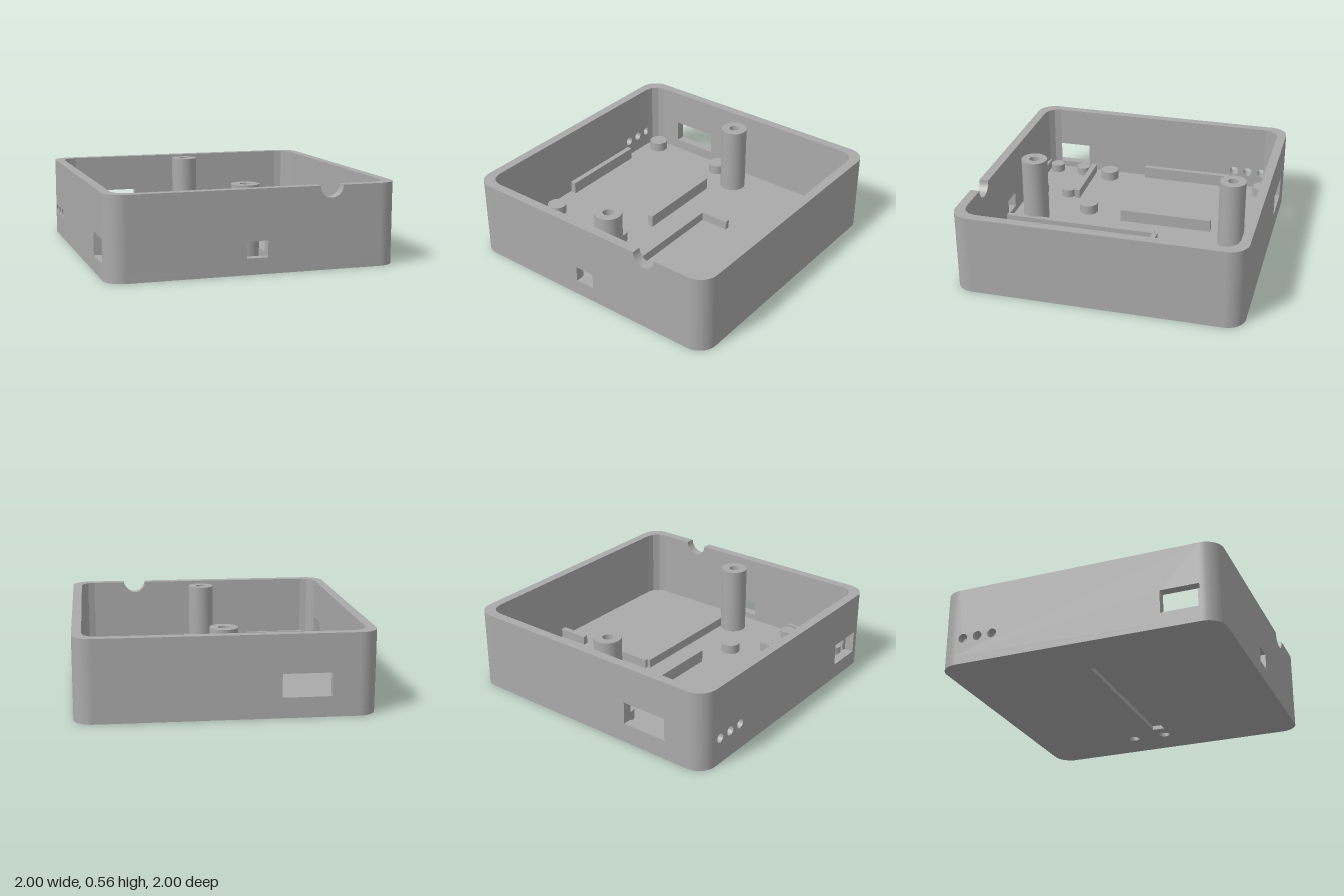
import * as THREE from 'three';
import { toCreasedNormals } from 'three/addons/utils/BufferGeometryUtils.js';

const H = 0.565;      // overall height
const FLOOR = 0.065;  // top of the floor
const IN = 0.935;     // inner wall face
const R = 0.13;       // outer corner radius
const S = 1 - R;      // straight half-length of a wall

export function createModel() {
  const model = new THREE.Group();
  const grey = new THREE.MeshStandardMaterial({ color: 0xaaaaaa });
  grey.name = 'grey plastic';

  const add = (name, geometry) => {
    const mesh = new THREE.Mesh(toCreasedNormals(geometry, 0.45), grey);
    mesh.name = name;
    model.add(mesh);
    return mesh;
  };
  const extrude = (shape, depth) =>
    new THREE.ExtrudeGeometry(shape, { depth, bevelEnabled: false, curveSegments: 12 });
  // Plan shape (x, z) raised from y0 to y1
  const slab = (shape, y0, y1) =>
    extrude(shape, y1 - y0).rotateX(Math.PI / 2).translate(0, y1, 0);
  const rect = (x0, y0, x1, y1, Type = THREE.Path) =>
    new Type([[x0, y0], [x1, y0], [x1, y1], [x0, y1]].map((p) => new THREE.Vector2(...p)));
  const circle = (x, y, r, Type = THREE.Path) => new Type().absarc(x, y, r, 0, Math.PI * 2);

  // Rounded base outline
  const outline = () => {
    const s = new THREE.Shape();
    s.absarc(S, S, R, 0, Math.PI / 2);
    s.absarc(-S, S, R, Math.PI / 2, Math.PI);
    s.absarc(-S, -S, R, Math.PI, Math.PI * 1.5);
    s.absarc(S, -S, R, Math.PI * 1.5, Math.PI * 2);
    return s;
  };

  // Underside with a shallow groove and two blind holes, closed by the floor above
  const under = outline();
  under.holes.push(rect(-0.6, -0.045, 0.6, 0.045),
    circle(0.725, -0.25, 0.04), circle(0.725, 0, 0.04));
  add('underside', slab(under, 0, 0.03));
  add('floor', slab(outline(), 0.03, FLOOR));

  // Straight walls with their openings
  const wall = (holes) => {
    const s = rect(-S, FLOOR, S, H, THREE.Shape);
    s.holes.push(...holes);
    return extrude(s, 1 - IN).translate(0, 0, IN);
  };
  const front = new THREE.Shape();
  front.moveTo(-S, FLOOR).lineTo(S, FLOOR).lineTo(S, H).lineTo(0.598, H);
  front.absarc(0.515, H, 0.083, 0, -Math.PI, true);
  front.lineTo(-S, H);
  front.holes.push(rect(-0.075, 0.11, 0.07, 0.222));
  add('frontWall', extrude(front, 1 - IN).translate(0, 0, IN));
  add('backWall', wall([rect(-0.69, 0.14, -0.355, 0.3)]).translate(0, 0, -1 - IN));
  add('rightWall', wall([]).rotateY(Math.PI / 2));
  add('leftWall', wall([
    rect(0.6, 0.11, 0.865, 0.27),
    ...[-0.82, -0.71, -0.6].map((z) => circle(z, 0.19, 0.033)),
  ]).rotateY(-Math.PI / 2));

  // Corners: smooth outside, faceted inside
  for (let i = 0; i < 4; i++) {
    const s = new THREE.Shape();
    s.absarc(S, S, R, 0, Math.PI / 2);
    s.lineTo(S, IN);
    for (const a of [90, 60, 30, 0]) {
      const t = THREE.MathUtils.degToRad(a);
      s.lineTo(0.835 + 0.1 * Math.cos(t), 0.835 + 0.1 * Math.sin(t));
    }
    s.lineTo(IN, S);
    add('wallCorner', slab(s, FLOOR, H).rotateY(i * Math.PI / 2));
  }

  // Tall screw posts
  for (const z of [-0.74, 0.74]) {
    const s = circle(0, z, 0.095, THREE.Shape);
    s.holes.push(circle(0, z, 0.037));
    add('screwPost', slab(s, FLOOR, H - 0.003));
  }

  // Round board supports
  const peg = (name, x, z, r, top) =>
    add(name, slab(circle(x, z, r, THREE.Shape), FLOOR, top));
  for (const x of [-0.82, -0.22])
    for (const z of [-0.84, 0.395]) peg('boardPeg', x, z, 0.068, 0.135);
  for (const x of [-0.85, -0.44])
    for (const z of [0.625, 0.845]) peg('smallPeg', x, z, 0.053, 0.125);

  // Ribs standing on the floor: x0, z0, x1, z1, top
  const rib = (name, x0, z0, x1, z1, top) =>
    add(name, slab(rect(x0, z0, x1, z1, THREE.Shape), FLOOR, top));
  rib('boardRail', -0.925, -0.565, -0.885, 0.12, 0.155);
  rib('boardRail', -0.16, -0.565, -0.12, 0.12, 0.155);
  rib('socketRib', -0.89, 0.525, -0.4, 0.565, 0.133);
  rib('socketRib', -0.89, 0.91, -0.4, 0.94, 0.133);
  rib('dividerTab', 0.71, -0.22, 0.94, -0.182, 0.13);

  // L-shaped divider
  const divider = new THREE.Shape([[0.08, -0.195], [0.105, -0.195], [0.105, -0.22], [0.33, -0.22],
    [0.33, -0.182], [0.118, -0.182], [0.118, 0.94], [0.08, 0.94]].map((p) => new THREE.Vector2(...p)));
  add('divider', slab(divider, FLOOR, 0.13));

  return model;
}
